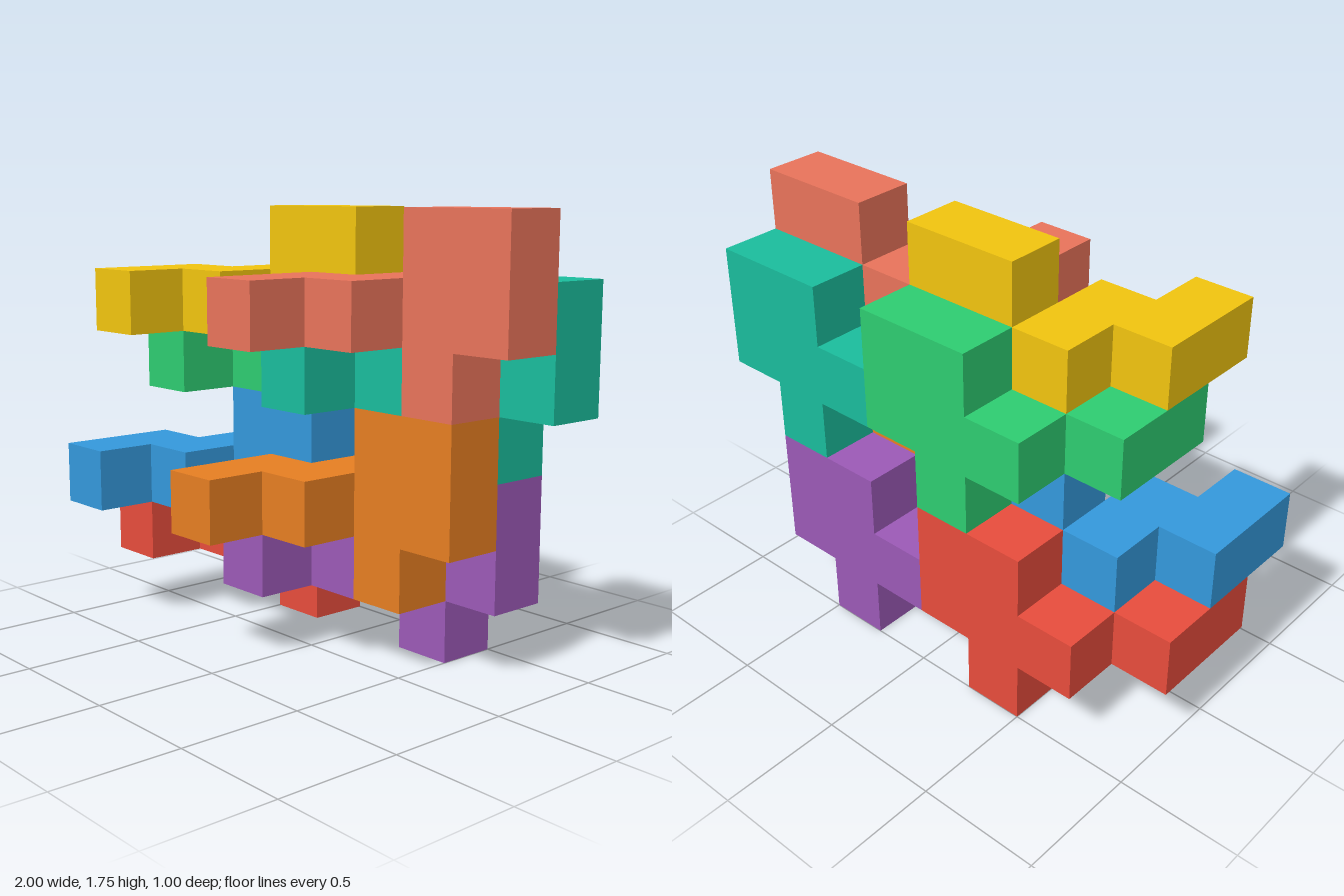
import * as THREE from 'three';
import { mergeGeometries } from 'three/addons/utils/BufferGeometryUtils.js';

const UNIT = 0.25;

// Cubes of the one interlocking tile, counted from its central cube
const CELLS = [
  [0, 0, 0], [1, 0, 0], [0, 1, 0], [1, 1, 0], [0, -1, 0], // upright plate
  [-1, 0, 0], [-1, 0, 1], [-2, 0, 1], [-2, 0, 2],         // stepped arm
];

const DIRECTIONS = [[1, 0, 0], [-1, 0, 0], [0, 1, 0], [0, -1, 0], [0, 0, 1], [0, 0, -1]];

// Outer skin of the tile: one square wherever a cube has no neighbour
function tileGeometry() {
  const filled = new Set(CELLS.map(String));
  const faces = [];
  const forward = new THREE.Vector3(0, 0, 1);
  for (const [x, y, z] of CELLS) {
    for (const [dx, dy, dz] of DIRECTIONS) {
      if (filled.has(String([x + dx, y + dy, z + dz]))) continue;
      const turn = new THREE.Quaternion().setFromUnitVectors(forward, new THREE.Vector3(dx, dy, dz));
      const face = new THREE.PlaneGeometry(UNIT, UNIT).applyQuaternion(turn);
      face.translate(
        (x + 0.5 + dx / 2) * UNIT,
        (y + 0.5 + dy / 2) * UNIT,
        (z + 0.5 + dz / 2) * UNIT
      );
      faces.push(face);
    }
  }
  return mergeGeometries(faces);
}

// Name, colour and grid position of each tile's central cube
const TILES = [
  ['upperRightFrontTile', 0xe8735a, [2, 5, -1]],
  ['upperLeftFrontTile', 0xf1c40f, [-1, 5, -1]],
  ['lowerRightFrontTile', 0xe67e22, [1, 2, -1]],
  ['lowerLeftFrontTile', 0x3498db, [-2, 2, -1]],
  ['upperRightBackTile', 0x1abc9c, [2, 4, -2]],
  ['upperLeftBackTile', 0x2ecc71, [-1, 4, -2]],
  ['lowerRightBackTile', 0x9b59b6, [1, 1, -2]],
  ['lowerLeftBackTile', 0xe74c3c, [-2, 1, -2]],
];

export function createModel() {
  const group = new THREE.Group();
  group.name = 'interlockingTiles';
  const geometry = tileGeometry();
  for (const [name, color, cell] of TILES) {
    const tile = new THREE.Mesh(geometry, new THREE.MeshStandardMaterial({ color }));
    tile.name = name;
    tile.position.fromArray(cell).multiplyScalar(UNIT);
    group.add(tile);
  }
  return group;
}
